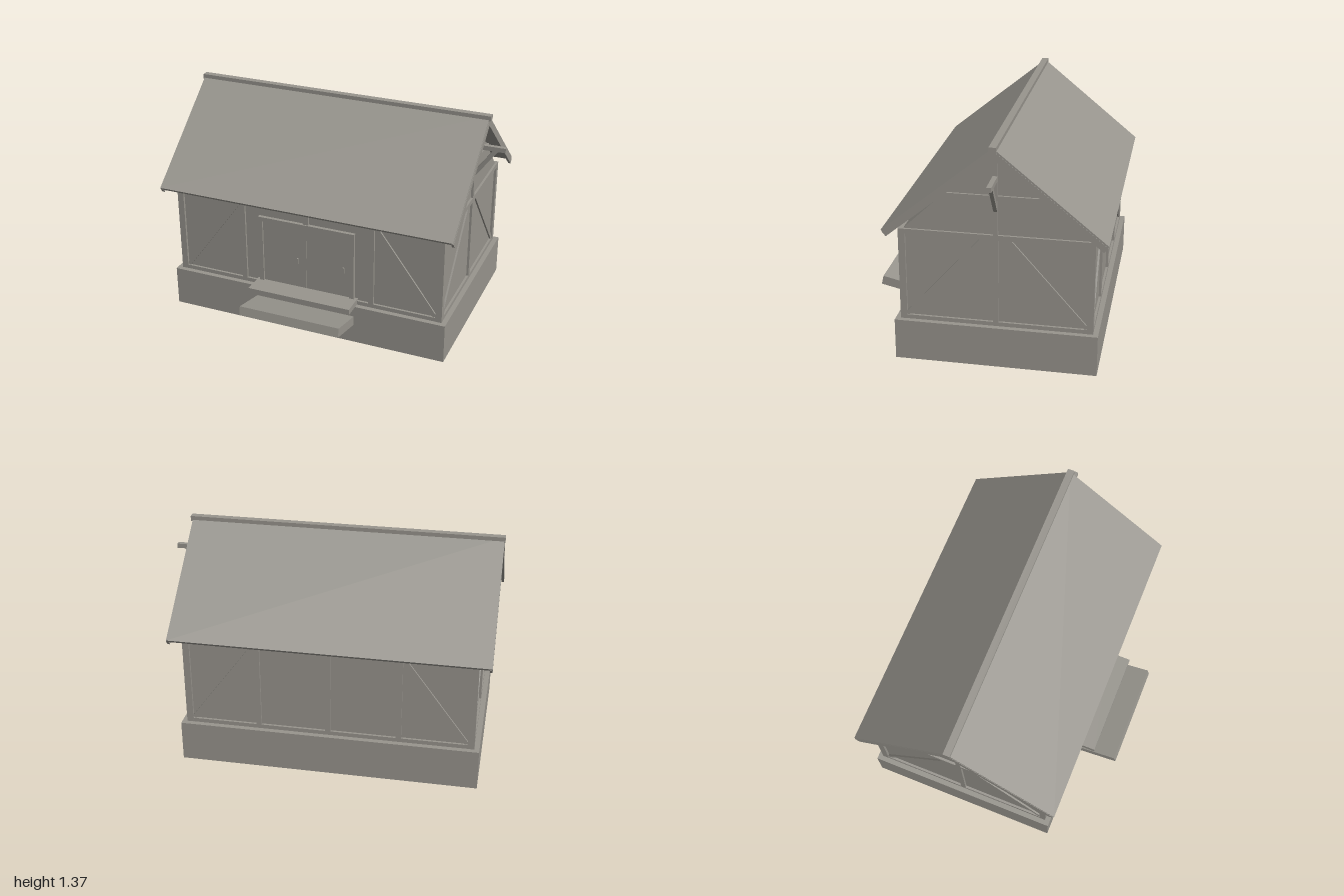
import * as THREE from 'three';

export function createModel() {
  const grey = new THREE.MeshStandardMaterial({ color: 0x98958e });
  grey.name = 'warm grey';
  const model = new THREE.Group();
  model.name = 'timberFramedHouse';
  // house centre sits slightly off the origin, as steps and hoist stick out
  const house = new THREE.Group();
  house.name = 'house';
  house.position.set(-0.05, 0, -0.095);
  model.add(house);

  const add = (parent, name, geometry) => {
    const mesh = new THREE.Mesh(geometry, grey);
    mesh.name = name;
    parent.add(mesh);
    return mesh;
  };
  // box given by its limits
  const box = (parent, name, x0, x1, y0, y1, z0, z1) => {
    const m = add(parent, name, new THREE.BoxGeometry(x1 - x0, y1 - y0, z1 - z0));
    m.position.set((x0 + x1) / 2, (y0 + y1) / 2, (z0 + z1) / 2);
    return m;
  };
  // slanted bar in the xy plane
  const bar = (parent, name, ax, ay, bx, by, width, depth, z) => {
    const m = add(parent, name, new THREE.BoxGeometry(Math.hypot(bx - ax, by - ay), width, depth));
    m.position.set((ax + bx) / 2, (ay + by) / 2, z);
    m.rotation.z = Math.atan2(by - ay, bx - ax);
    return m;
  };
  // [z, y] profile extruded along x
  const prism = (parent, name, points, x0, x1) => {
    const shape = new THREE.Shape(points.map(([z, y]) => new THREE.Vector2(z, y)));
    const g = new THREE.ExtrudeGeometry(shape, { depth: x1 - x0, bevelEnabled: false });
    g.rotateY(-Math.PI / 2).translate(x1, 0, 0);
    return add(parent, name, g);
  };

  // foundation, infill walls and gable
  box(house, 'foundation', -0.9, 0.9, 0, 0.25, -0.595, 0.595);
  box(house, 'walls', -0.855, 0.855, 0.25, 0.82, -0.55, 0.55);
  prism(house, 'gableWalls', [[-0.54, 0.815], [0.54, 0.815], [0, 1.33]], -0.855, 0.855);

  // corner posts
  for (const sx of [-1, 1]) for (const sz of [-1, 1]) {
    const post = add(house, 'cornerPost', new THREE.BoxGeometry(0.04, 0.57, 0.04));
    post.position.set(sx * 0.85, 0.535, sz * 0.545);
  }

  // timber framing of one wall, facing local +z
  const framing = (name, angle, half, out, posts, foot, head) => {
    const g = new THREE.Group();
    g.name = name;
    g.rotation.y = angle;
    house.add(g);
    const inner = half - 0.04;
    box(g, 'bottomRail', -inner, inner, 0.25, 0.275, out - 0.03, out - 0.001);
    box(g, 'topRail', -inner, inner, 0.79, 0.82, out - 0.03, out - 0.001);
    for (const [x, y0] of posts) box(g, 'post', x - 0.016, x + 0.016, y0, 0.79, out - 0.03, out - 0.001);
    for (const s of [-1, 1]) {
      bar(g, 'diagonalBrace', s * foot, 0.28, s * head, 0.795, 0.025, 0.025, out - 0.017);
    }
    return g;
  };
  framing('frontFraming', 0, 0.87, 0.565, [[-0.422, 0.275], [0, 0.72], [0.422, 0.275]], 0.825, 0.445);
  framing('backFraming', Math.PI, 0.87, 0.565, [[-0.422, 0.275], [0, 0.275], [0.422, 0.275]], 0.825, 0.445);
  for (const s of [-1, 1]) {
    const g = framing(s > 0 ? 'leftFraming' : 'rightFraming', s * Math.PI / 2,
      0.565, 0.87, [[0, 0.275]], 0.525, 0.07);
    box(g, 'gablePost', -0.014, 0.014, 0.82, 1.31, 0.84, 0.87);
    box(g, 'gableTie', -0.3, 0.3, 1.03, 1.057, 0.84, 0.868);
  }

  // roof: chevron slab, barge boards below it and ridge beam
  const chevron = (ez0, ey0, r0, ez1, ey1, r1) =>
    [[-ez0, ey0], [-ez1, ey1], [0, r1], [ez1, ey1], [ez0, ey0], [0, r0]];
  prism(house, 'roof', chevron(0.643, 0.835, 1.36, 0.63, 0.819, 1.334), -0.943, 0.938);
  for (const x of [-0.945, 0.925]) {
    prism(house, 'bargeBoard', chevron(0.638, 0.826, 1.347, 0.615, 0.797, 1.3), x, x + 0.015);
  }
  box(house, 'ridgeBeam', -0.95, 0.95, 1.335, 1.367, -0.021, 0.021);

  // hoist on the left gable
  box(house, 'hoistBeam', 0.84, 1.05, 1.147, 1.175, -0.014, 0.014);
  bar(house, 'hoistBrace', 0.99, 1.15, 0.855, 0.965, 0.025, 0.022, 0);

  // double door with frame and handles
  const door = new THREE.Group();
  door.name = 'doubleDoor';
  house.add(door);
  for (const s of [-1, 1]) {
    const a = s * 0.3, b = s * 0.001;
    box(door, 'doorLeaf', Math.min(a, b), Math.max(a, b), 0.275, 0.705, 0.54, 0.56);
    const x = s * 0.3;
    box(door, 'doorJamb', x - 0.014, x + 0.014, 0.275, 0.7, 0.54, 0.572);
  }
  box(door, 'doorLintel', -0.314, 0.314, 0.7, 0.727, 0.54, 0.572);
  for (const x of [-0.056, 0.244]) box(door, 'doorHandle', x - 0.006, x + 0.006, 0.45, 0.486, 0.555, 0.568);

  // doorstep and tilted lower step
  box(house, 'doorstep', -0.333, 0.333, 0.25, 0.287, 0.54, 0.695);
  prism(house, 'lowerStep', [[0.56, 0.114], [0.845, 0.18], [0.832, 0.236], [0.56, 0.173]], -0.325, 0.325);

  return model;
}
